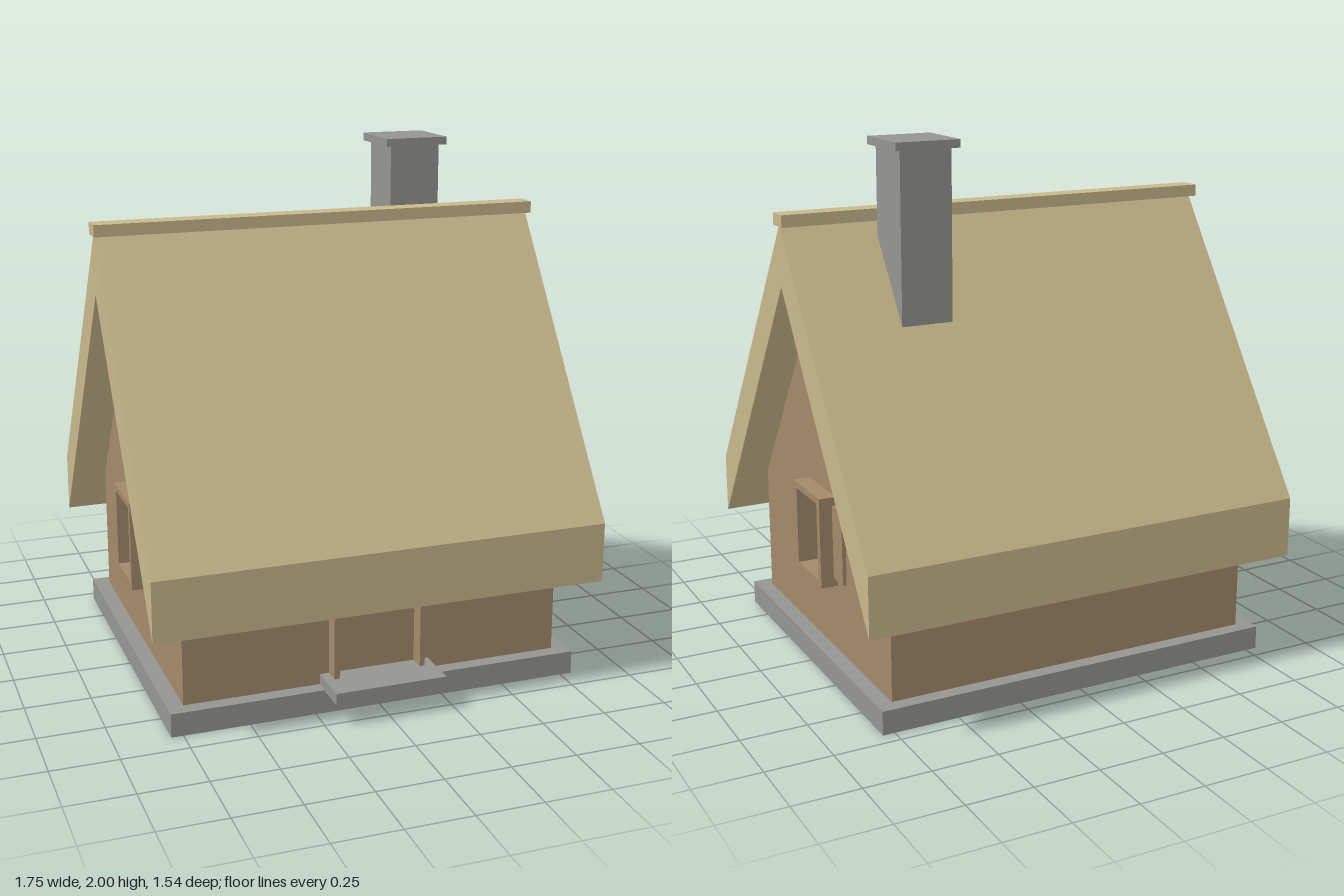
import * as THREE from 'three';

const timber = new THREE.MeshStandardMaterial({ color: 0xa48a6a });
timber.name = 'timber';
const thatch = new THREE.MeshStandardMaterial({ color: 0xc8b88b });
thatch.name = 'thatch';
const stone = new THREE.MeshStandardMaterial({ color: 0x949491 });
stone.name = 'stone';

const MID = -0.02; // z of the ridge line

// Box given by its min and max on each axis
function box(parent, name, mat, [x0, x1], [y0, y1], [z0, z1]) {
  const mesh = new THREE.Mesh(new THREE.BoxGeometry(x1 - x0, y1 - y0, z1 - z0), mat);
  mesh.position.set((x0 + x1) / 2, (y0 + y1) / 2, (z0 + z1) / 2);
  mesh.name = name;
  parent.add(mesh);
  return mesh;
}

// Profile in (distance behind ridge, y), extruded along x
function profile(parent, name, mat, points, x0, x1, hole) {
  const shape = new THREE.Shape(points.map(([a, b]) => new THREE.Vector2(a, b)));
  if (hole) shape.holes.push(new THREE.Path(hole.map(([a, b]) => new THREE.Vector2(a, b))));
  const geo = new THREE.ExtrudeGeometry(shape, { depth: x1 - x0, bevelEnabled: false });
  geo.rotateY(Math.PI / 2).translate(x0, 0, MID);
  const mesh = new THREE.Mesh(geo, mat);
  mesh.name = name;
  parent.add(mesh);
}

export function createModel() {
  const house = new THREE.Group();
  house.name = 'cottage';

  // Stone base and doorstep
  box(house, 'foundation', stone, [-0.795, 0.795], [0, 0.09], [-0.695, 0.655]);
  box(house, 'doorstep', stone, [-0.215, 0.215], [0.085, 0.13], [0.595, 0.775]);

  // Long walls
  box(house, 'frontWall', timber, [-0.735, 0.735], [0.09, 0.74], [0.54, 0.6]);
  box(house, 'backWall', timber, [-0.735, 0.735], [0.09, 0.74], [-0.64, -0.58]);

  // Gable walls with window openings
  const gable = [[-0.62, 0.09], [0.62, 0.09], [0.62, 0.72], [0, 1.6], [-0.62, 0.72]];
  const opening = [[-0.105, 0.375], [-0.105, 0.675], [0.1, 0.675], [0.1, 0.375]];
  for (const side of [-1, 1]) {
    const label = side > 0 ? 'left' : 'right';
    const span = (a, b) => (side > 0 ? [a, b] : [-b, -a]);
    profile(house, label + 'GableWall', timber, gable, ...span(0.675, 0.735), opening);

    const win = new THREE.Group();
    win.name = label + 'Window';
    house.add(win);
    const fx = span(0.67, 0.8);
    box(win, 'frameSill', timber, fx, [0.35, 0.375], [-0.15, 0.11]);
    box(win, 'frameHead', timber, fx, [0.675, 0.7], [-0.15, 0.11]);
    box(win, 'frameFront', timber, fx, [0.375, 0.675], [0.085, 0.11]);
    box(win, 'frameBack', timber, fx, [0.375, 0.675], [-0.15, -0.12]);
    box(win, 'mullion', timber, span(0.69, 0.7), [0.375, 0.675], [-0.026, -0.014]);
    box(win, 'frontShutter', timber, span(0.73, 0.75), [0.385, 0.667], [0.11, 0.2]);
    box(win, 'backShutter', timber, span(0.73, 0.75), [0.385, 0.667], [-0.24, -0.15]);
  }

  // Door frame
  const door = new THREE.Group();
  door.name = 'doorFrame';
  house.add(door);
  box(door, 'rightPost', timber, [-0.18, -0.16], [0.09, 0.64], [0.59, 0.66]);
  box(door, 'leftPost', timber, [0.157, 0.177], [0.09, 0.64], [0.59, 0.66]);
  box(door, 'lintel', timber, [-0.18, 0.177], [0.62, 0.64], [0.59, 0.66]);

  // Thick thatched roof and ridge
  profile(house, 'roof', thatch,
    [[-0.75, 0.4], [0, 1.475], [0.75, 0.4], [0.75, 0.63], [0, 1.7], [-0.75, 0.63]], -0.87, 0.87);
  box(house, 'ridgeBeam', thatch, [-0.877, 0.877], [1.695, 1.74], [-0.063, 0.02]);

  // Chimney
  box(house, 'chimney', stone, [0.31, 0.51], [1.2, 1.97], [-0.272, -0.062]);
  box(house, 'chimneyCap', stone, [0.285, 0.535], [1.97, 2], [-0.295, -0.043]);

  return house;
}
